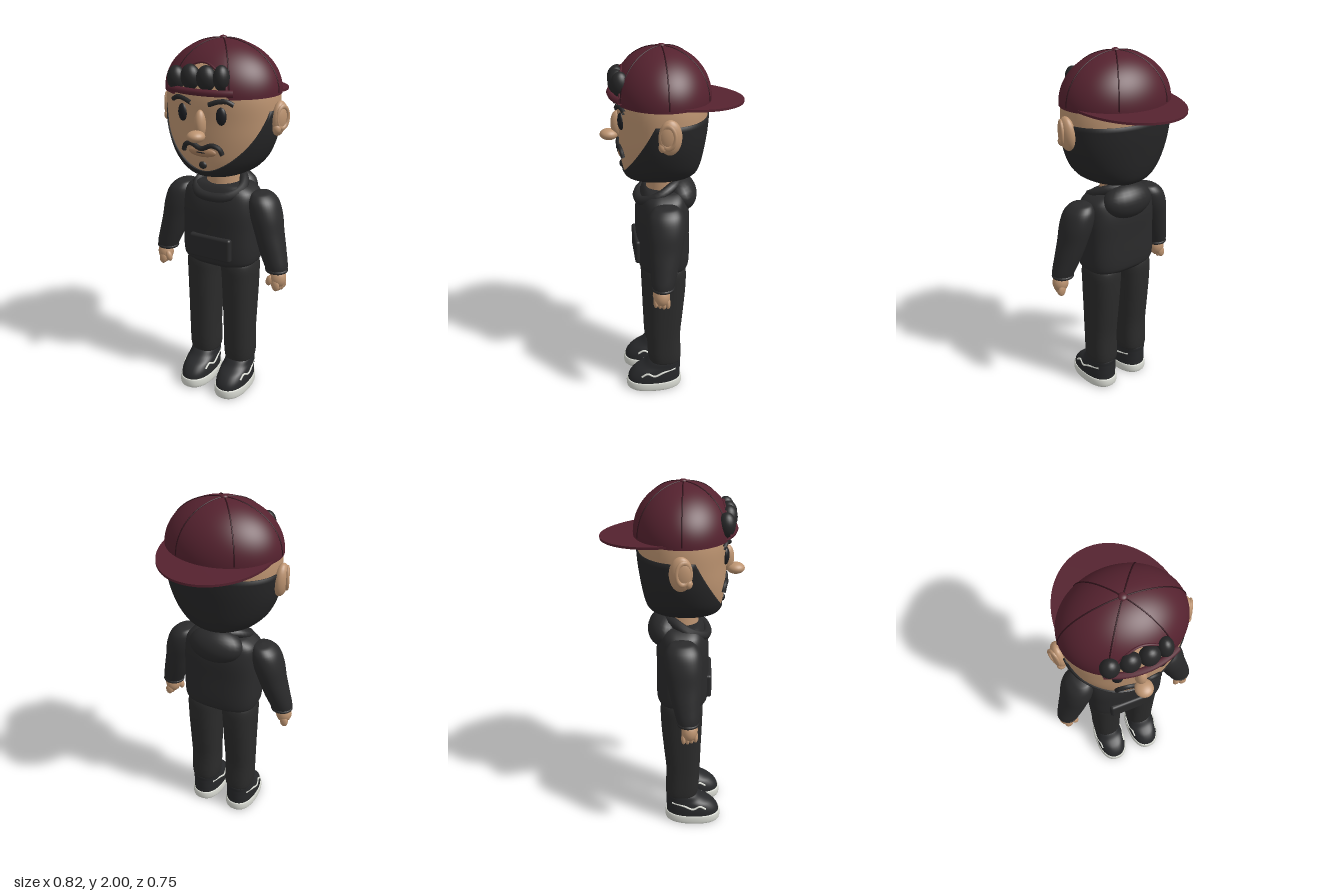
import * as THREE from 'three';
import { RoundedBoxGeometry } from 'three/addons/geometries/RoundedBoxGeometry.js';

const mat = (name, color, side = THREE.FrontSide) => {
  const m = new THREE.MeshStandardMaterial({ color, side });
  m.name = name;
  return m;
};
const V = (x, y, z) => new THREE.Vector3(x, y, z);

// Smooth surface from fn(u, v) -> Vector3; u runs around (wrapped), v runs upward
function surface(fn, nu, nv) {
  const pos = [], idx = [];
  for (let j = 0; j <= nv; j++)
    for (let i = 0; i < nu; i++) pos.push(...fn(i / nu, j / nv).toArray());
  for (let j = 0; j < nv; j++)
    for (let i = 0; i < nu; i++) {
      const k = (i + 1) % nu, a = j * nu + i, b = j * nu + k, c = b + nu, d = a + nu;
      idx.push(a, b, c, a, c, d);
    }
  const g = new THREE.BufferGeometry();
  g.setAttribute('position', new THREE.Float32BufferAttribute(pos, 3));
  g.setIndex(idx);
  g.computeVertexNormals();
  return g;
}

// Body made of rounded cross-sections [y, cx, cz, rx, rz] listed upward
function form(rows, n) {
  const centre = new THREE.CatmullRomCurve3(rows.map(r => V(r[1], r[0], r[2])));
  const radius = new THREE.CatmullRomCurve3(rows.map(r => V(r[3], r[0], r[4])));
  const pw = v => Math.sign(v) * Math.abs(v) ** (2 / n);
  const point = (t, a, off = 0) => {
    const c = centre.getPoint(t), r = radius.getPoint(t);
    return V(c.x + (Math.max(r.x, 0) + off) * pw(Math.sin(a)), c.y,
      c.z + (Math.max(r.z, 0) + off) * pw(Math.cos(a)));
  };
  const tOf = y => {
    let lo = 0, hi = 1;
    for (let i = 0; i < 30; i++) {
      const m = (lo + hi) / 2;
      if (centre.getPoint(m).y < y) lo = m; else hi = m;
    }
    return lo;
  };
  const ring = y => ({ c: centre.getPoint(tOf(y)), r: radius.getPoint(tOf(y)) });
  const rest = q => Math.max(0, 1 - Math.abs(q) ** n) ** (1 / n);
  return {
    point, tOf,
    frontZ: (x, y) => { const { c, r } = ring(y); return c.z + r.z * rest((x - c.x) / r.x); },
    halfX: (z, y) => { const { c, r } = ring(y); return r.x * rest((z - c.z) / r.z); },
    geometry: (nu = 40, nv = 36) => surface((u, v) => point(v, u * Math.PI * 2), nu, nv),
  };
}

const tube = (pts, r, closed = false) =>
  new THREE.TubeGeometry(new THREE.CatmullRomCurve3(pts, closed), 40, r, 8, closed);

export function createModel() {
  const root = new THREE.Group();
  const skin = mat('skin', 0xbd9471), lip = mat('lips', 0xa47c5c);
  const hair = mat('hair', 0x262627, THREE.DoubleSide), eye = mat('eyes', 0x1b1d21);
  const cloth = mat('hoodie', 0x2a2a2b), denim = mat('trousers', 0x2b2b2b);
  const shoe = mat('shoe', 0x27282a), white = mat('sole', 0xd6d8d0);
  const cap = mat('cap', 0x55222f, THREE.DoubleSide), seam = mat('seam', 0x2e1119);

  const add = (name, geo, m) => {
    const o = new THREE.Mesh(geo, m);
    o.name = name;
    root.add(o);
    return o;
  };
  const ball = (name, m, p, r, rotZ = 0) => {
    const o = add(name, new THREE.SphereGeometry(1, 24, 16), m);
    o.position.set(...p);
    o.scale.set(...r);
    o.rotation.z = rotZ;
    return o;
  };

  // Head
  const head = form([[1.295, 0, .065, 0, 0], [1.31, 0, .067, .13, .16], [1.34, 0, .063, .19, .19],
    [1.4, 0, .06, .245, .207], [1.5, 0, .055, .287, .22], [1.6, 0, .05, .303, .228],
    [1.72, 0, .05, .305, .232], [1.82, 0, .05, .278, .21], [1.9, 0, .05, .2, .16],
    [1.955, 0, .05, .1, .08], [1.965, 0, .05, 0, 0]], 2.15);
  add('head', head.geometry(56, 48), skin);
  const neckGeo = new THREE.CylinderGeometry(.09, .095, .16, 28);
  add('neck', neckGeo, skin).position.set(0, 1.25, .045);

  // Beard shell: low at the chin, rising to the ears and round the back
  add('beard', surface((u, v) => {
    const a = u * Math.PI * 2, d = Math.min(a, Math.PI * 2 - a);
    const top = 1.345 + .31 * Math.min(1, d / 1.31) ** 2;
    return head.point(head.tOf(top) * Math.min(1, v * 1.04), a, v === 1 ? -.004 : .008);
  }, 96, 28), hair);

  // Face
  const onFace = (x, y, off = 0) => V(x, y, head.frontZ(x, y) + off);
  for (const s of [-1, 1]) {
    ball('eye', eye, onFace(.11 * s, 1.64).toArray(), [.027, .045, .018]).rotation.y = .2 * s;
    add('eyebrow', tube([[.05, 1.695], [.1, 1.712], [.14, 1.714], [.172, 1.698]]
      .map(([x, y]) => onFace(x * s, y, .006)), .012), hair);
    ball('ear', skin, [.317 * s, 1.61, .047], [.037, .09, .058], -.08 * s);
    const rim = add('earRim', new THREE.TorusGeometry(.036, .009, 8, 28), skin);
    rim.position.set(.343 * s, 1.62, .06);
    rim.rotation.y = (Math.PI / 2 - .4) * s;
    rim.scale.y = 1.5;
    ball('earLobe', skin, [.322 * s, 1.565, .085], [.022, .026, .02]);
  }
  ball('noseBridge', skin, [0, 1.595, .282], [.03, .07, .035]);
  ball('noseTip', skin, [0, 1.54, .327], [.046, .03, .048]);
  add('moustache', tube([[-.112, 1.445], [-.098, 1.475], [-.06, 1.489], [0, 1.468],
    [.06, 1.489], [.098, 1.475], [.112, 1.445]].map(([x, y]) => onFace(x, y, .006)), .013), hair);
  ball('lips', lip, onFace(0, 1.448, -.005).toArray(), [.08, .026, .018]);
  add('mouthLine', tube([-.055, 0, .055].map(x => onFace(x, 1.448, x ? .004 : .013)), .003), eye);
  ball('chinTuft', hair, onFace(0, 1.378).toArray(), [.022, .02, .014]);

  // Cap dome with an arched opening at the front
  const dome = (phi, a, k = 1) => V(.313 * k * Math.sin(phi) * Math.sin(a),
    1.735 + .25 * k * Math.cos(phi), .05 + .255 * k * Math.sin(phi) * Math.cos(a));
  const domeEnd = a => {
    const d = Math.min(a, Math.PI * 2 - a) / .5;
    return Math.acos(d < 1 ? .62 * Math.sqrt(1 - d * d) : -.04);
  };
  add('capDome', surface((u, v) => dome(domeEnd(u * Math.PI * 2) * (1 - v), u * Math.PI * 2),
    160, 28), cap);
  for (let i = 0; i < 6; i++) {
    const a = Math.PI / 6 + i * Math.PI / 3, pts = [];
    for (let k = 0; k <= 12; k++) pts.push(dome(.04 + 1.52 * k / 12, a, 1.001));
    add('capSeam', tube(pts, .0035), seam);
  }
  ball('capButton', cap, [0, 1.985, .05], [.02, .012, .02]);
  const arch = [], band = [];
  for (let k = -12; k <= 12; k++) {
    const a = k / 12 * .5;
    arch.push(dome(Math.acos(.62 * Math.sqrt(1 - (k / 12) ** 2)), a, 1.005));
    band.push(dome(1.49, a * 1.15, 1.04));
  }
  add('openingTrim', tube(arch, .006), cap);
  add('capStrap', tube(band, .017), cap);

  // Brim at the back, tilted and slightly bowed
  const outline = new THREE.Shape().absellipse(0, 0, .3, .378, 0, Math.PI, false);
  const brim = new THREE.ExtrudeGeometry(outline, { depth: .012, bevelEnabled: false, curveSegments: 48 });
  brim.rotateX(-Math.PI / 2);
  const bp = brim.attributes.position;
  for (let i = 0; i < bp.count; i++)
    bp.setY(i, bp.getY(i) + 1.74 + .1 * bp.getZ(i) - .1 * bp.getX(i) ** 2);
  brim.computeVertexNormals();
  add('capBrim', brim, cap);

  // Hair tufts in the opening
  for (const [x, y, z, r] of [[-.145, 1.805, .265, .047], [-.055, 1.82, .278, .05],
    [.035, 1.82, .28, .05], [.112, 1.825, .268, .04]])
    ball('hairTuft', hair, [x, y, z], [r, .062, .045]);

  // Hoodie body, pocket, collar and hood
  add('torso', form([[.79, 0, .055, 0, 0], [.79, 0, .055, .19, .125], [.81, 0, .055, .212, .14],
    [1, 0, .055, .217, .143], [1.12, 0, .053, .214, .14], [1.2, 0, .05, .2, .12],
    [1.24, 0, .045, .14, .095], [1.25, 0, .045, 0, 0]], 3).geometry(56, 40), cloth);
  add('pocket', new RoundedBoxGeometry(.25, .135, .05, 4, .015), cloth).position.set(0, .895, .19);
  add('collar', tube([V(0, 1.18, .185), V(.09, 1.19, .165), V(.135, 1.225, .09), V(.1, 1.265, .01),
    V(0, 1.275, -.04), V(-.1, 1.265, .01), V(-.135, 1.225, .09), V(-.09, 1.19, .165)], .026, true), cloth);
  ball('hood', cloth, [0, 1.2, -.045], [.155, .098, .092]).rotation.x = .25;

  for (const s of [-1, 1]) {
    // Sleeve and cuff
    add('sleeve', form([[.785, .348, .09, 0, 0], [.787, .348, .09, .05, .048], [.81, .346, .09, .06, .058],
      [.9, .318, .08, .071, .075], [1, .29, .07, .076, .09], [1.1, .265, .062, .083, .1],
      [1.17, .245, .058, .075, .09], [1.205, .232, .055, .048, .06], [1.215, .225, .055, 0, 0]]
      .map(r => [r[0], r[1] * s, ...r.slice(2)]), 2.1).geometry(36, 40), cloth);
    add('cuff', tube([0, 1, 2, 3, 4, 5, 6, 7].map(k => V(.347 * s + .052 * Math.sin(k * Math.PI / 4), .8,
      .09 + .05 * Math.cos(k * Math.PI / 4))), .011, true), cloth);
    // Hand with curled fingers
    ball('palm', skin, [.36 * s, .755, .098], [.045, .055, .043]);
    for (let k = 0; k < 4; k++)
      ball('finger', skin, [(.372 - .004 * k) * s, .715 + .004 * Math.abs(k - 1), .068 + .021 * k],
        [.023, .034, .0135], .12 * s);
    ball('thumb', skin, [.322 * s, .742, .125], [.019, .032, .018], -.3 * s);

    // Trouser leg
    add('leg', form([[.17, .113, .055, 0, 0], [.172, .113, .055, .075, .085], [.19, .113, .056, .083, .094],
      [.35, .113, .062, .086, .097], [.5, .112, .057, .09, .106], [.68, .11, .052, .096, .116],
      [.78, .108, .052, .097, .115], [.815, .108, .052, .08, .095], [.825, .108, .052, 0, 0]]
      .map(r => [r[0], r[1] * s, ...r.slice(2)]), 2.4).geometry(40, 36), denim);

    // Shoe upper, sole and wavy side stripes
    const cx = .115 * s;
    const upper = form([[.045, cx, .122, 0, 0], [.047, cx, .122, .086, .152], [.08, cx, .118, .089, .152],
      [.12, cx, .1, .085, .135], [.15, cx, .073, .08, .108], [.185, cx, .055, .074, .088],
      [.195, cx, .055, 0, 0]], 2.3);
    add('shoeUpper', upper.geometry(), shoe);
    add('sole', form([[0, cx, .122, 0, 0], [.001, cx, .122, .088, .155], [.012, cx, .122, .094, .163],
      [.045, cx, .122, .094, .163], [.055, cx, .122, .09, .158], [.056, cx, .122, 0, 0]], 2.35)
      .geometry(48, 30), white);
    for (const e of [-1, 1])
      add('shoeStripe', tube([[.2, .1], [.165, .12], [.125, .106], [.075, .125], [0, .136]]
        .map(([z, y]) => V(cx + e * upper.halfX(z, y), y, z)), .006), white);
  }
  return root;
}
